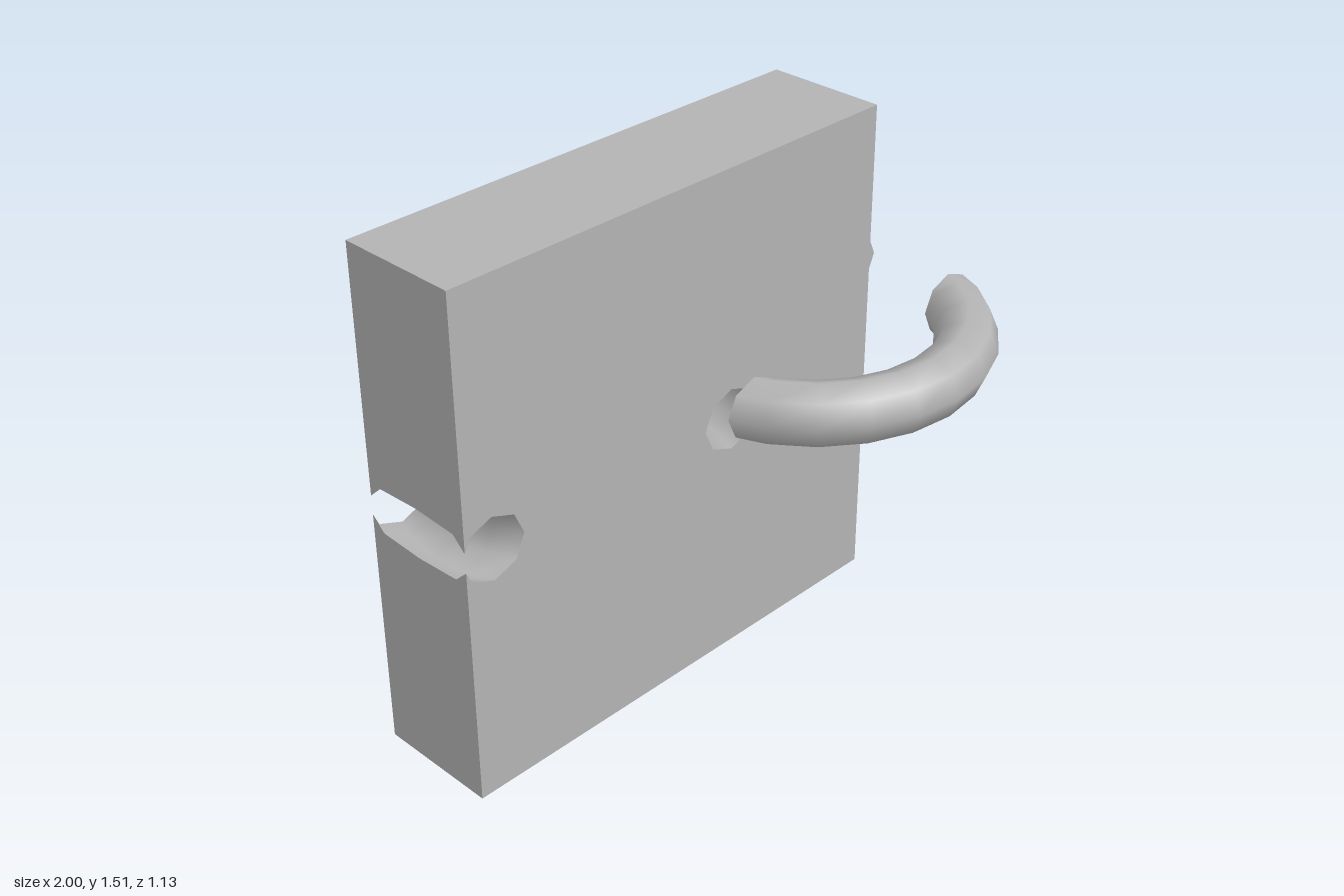
import * as THREE from 'three';
import { toCreasedNormals } from 'three/addons/utils/BufferGeometryUtils.js';

const R = 0.4715, r = 0.0955;             // ring radius and tube radius
const SIDES = 8, STEPS = 24;              // faceting of tube and ring
const H = 0.185;                          // half the slab's thickness
const LEFT = -1, RIGHT = 0.515, TOP = 1.515, MID = 0.76;
const RING_X = 0.467, BORE_X = -0.481;    // centres of the ring and of the ring-shaped bore

// Corner of the faceted ring: tube side j, ring step k
function corner(cx, j, k) {
  const a = (j % SIDES) * 2 * Math.PI / SIDES, t = k * 2 * Math.PI / STEPS;
  const rho = R + r * Math.cos(a);
  return new THREE.Vector3(cx + rho * Math.cos(t), MID + r * Math.sin(a), rho * Math.sin(t));
}

// Cross-section at step k, or cut at height z between steps k and k + 1
function section(cx, k, z) {
  return Array.from({ length: SIDES }, (_, j) => {
    const p = corner(cx, j, k);
    if (z === undefined) return p;
    const q = corner(cx, j, k + 1);
    p.lerp(q, (z - p.z) / (q.z - p.z));
    p.z = z;
    return p;
  });
}

// Sections from step k0 to k1, with both ends cut flat
function sections(cx, k0, z0, k1, z1) {
  const rows = [section(cx, k0, z0)];
  for (let k = k0 + 1; k <= k1; k++) rows.push(section(cx, k));
  rows.push(section(cx, k1, z1));
  return rows;
}

// Quads between neighbouring sections, facing out of or into the tube
function skin(rows, inward) {
  const quads = [];
  for (let i = 0; i + 1 < rows.length; i++) {
    for (let j = 0; j < SIDES; j++) {
      const n = (j + 1) % SIDES;
      const q = [rows[i][j], rows[i + 1][j], rows[i + 1][n], rows[i][n]];
      quads.push(inward ? q : q.reverse());
    }
  }
  return quads;
}

// Keep the part of a polygon inside the slab's end face
function clip(poly) {
  const out = [];
  poly.forEach((p, i) => {
    const q = poly[(i + 1) % poly.length];
    if (p.x >= LEFT) out.push(p);
    if ((p.x >= LEFT) !== (q.x >= LEFT)) {
      const c = p.clone().lerp(q, (LEFT - p.x) / (q.x - p.x));
      c.x = LEFT;
      out.push(c);
    }
  });
  return out;
}

// Geometry from convex polygons
function fromPolygons(polys) {
  const pts = [];
  for (const p of polys) for (let i = 1; i + 1 < p.length; i++) pts.push(p[0], p[i], p[i + 1]);
  const g = new THREE.BufferGeometry().setFromPoints(pts);
  g.computeVertexNormals();
  return g;
}

export function createModel() {
  const model = new THREE.Group();
  const grey = new THREE.MeshStandardMaterial({ color: 0xb3b3b3 });
  const add = (name, geometry, parent = model) => {
    const mesh = new THREE.Mesh(geometry, grey);
    mesh.name = name;
    parent.add(mesh);
    return mesh;
  };

  // Two ring arcs with flat ends
  const arcs = {
    frontRingArc: sections(RING_X, 1, H, 10, H),
    backRingArc: sections(RING_X, 13, -H, 22, -H),
  };
  for (const [name, rows] of Object.entries(arcs)) {
    const arc = new THREE.Group();
    arc.name = name;
    model.add(arc);
    add('tube', toCreasedNormals(fromPolygons(skin(rows, false)), 0.9), arc);
    add('endCaps', fromPolygons([[...rows[0]].reverse(), rows[rows.length - 1]]), arc);
  }

  // Slab pierced by a ring-shaped bore
  const slab = new THREE.Group();
  slab.name = 'slab';
  model.add(slab);
  const hole = sections(BORE_X, -2, -H, 1, H);
  const notch = sections(BORE_X, 10, H, 13, -H);
  const notchWalls = skin(notch, true).map(clip).filter(p => p.length > 2);
  add('holeWall', toCreasedNormals(fromPolygons(skin(hole, true)), 0.9), slab);
  add('notchWall', toCreasedNormals(fromPolygons(notchWalls), 0.9), slab);

  // Front and back faces, with the hole and the edge notch
  const rim = clip(notch[0]).sort((a, b) =>
    Math.atan2(a.y - MID, a.x - BORE_X + R) - Math.atan2(b.y - MID, b.x - BORE_X + R)).reverse();
  const face = new THREE.Shape([
    new THREE.Vector2(LEFT, 0), new THREE.Vector2(RIGHT, 0),
    new THREE.Vector2(RIGHT, TOP), new THREE.Vector2(LEFT, TOP),
    ...rim.map(p => new THREE.Vector2(p.x, p.y)),
  ]);
  face.holes.push(new THREE.Path(hole[hole.length - 1].map(p => new THREE.Vector2(p.x, p.y))));
  add('frontFace', new THREE.ShapeGeometry(face).translate(0, 0, H), slab);
  // The back is the front turned over about the slab's mid height
  add('backFace', new THREE.ShapeGeometry(face).translate(0, -TOP / 2, H)
    .rotateX(Math.PI).translate(0, 2 * MID - TOP / 2, 0).translate(0, TOP - 2 * MID, 0), slab);

  // Top, bottom and right-hand edges
  const v = (x, y, z) => new THREE.Vector3(x, y, z);
  add('edges', fromPolygons([
    [v(LEFT, TOP, H), v(RIGHT, TOP, H), v(RIGHT, TOP, -H), v(LEFT, TOP, -H)],
    [v(LEFT, 0, -H), v(RIGHT, 0, -H), v(RIGHT, 0, H), v(LEFT, 0, H)],
    [v(RIGHT, 0, H), v(RIGHT, 0, -H), v(RIGHT, TOP, -H), v(RIGHT, TOP, H)],
  ]), slab);

  // End face, split above and below the opening of the notch
  const lip = notchWalls.flat().filter(p => p.x === LEFT && p.y > MID).sort((a, b) => a.z - b.z)
    .filter((p, i, all) => i === 0 || p.z - all[i - 1].z > 1e-5);
  const strips = [];
  for (let i = 0; i + 1 < lip.length; i++) {
    const a = lip[i], b = lip[i + 1];
    strips.push([a, b, v(LEFT, TOP, b.z), v(LEFT, TOP, a.z)]);
    strips.push([v(LEFT, 0, a.z), v(LEFT, 0, b.z),
      v(LEFT, 2 * MID - b.y, b.z), v(LEFT, 2 * MID - a.y, a.z)]);
  }
  add('endFace', fromPolygons(strips), slab);
  return model;
}
